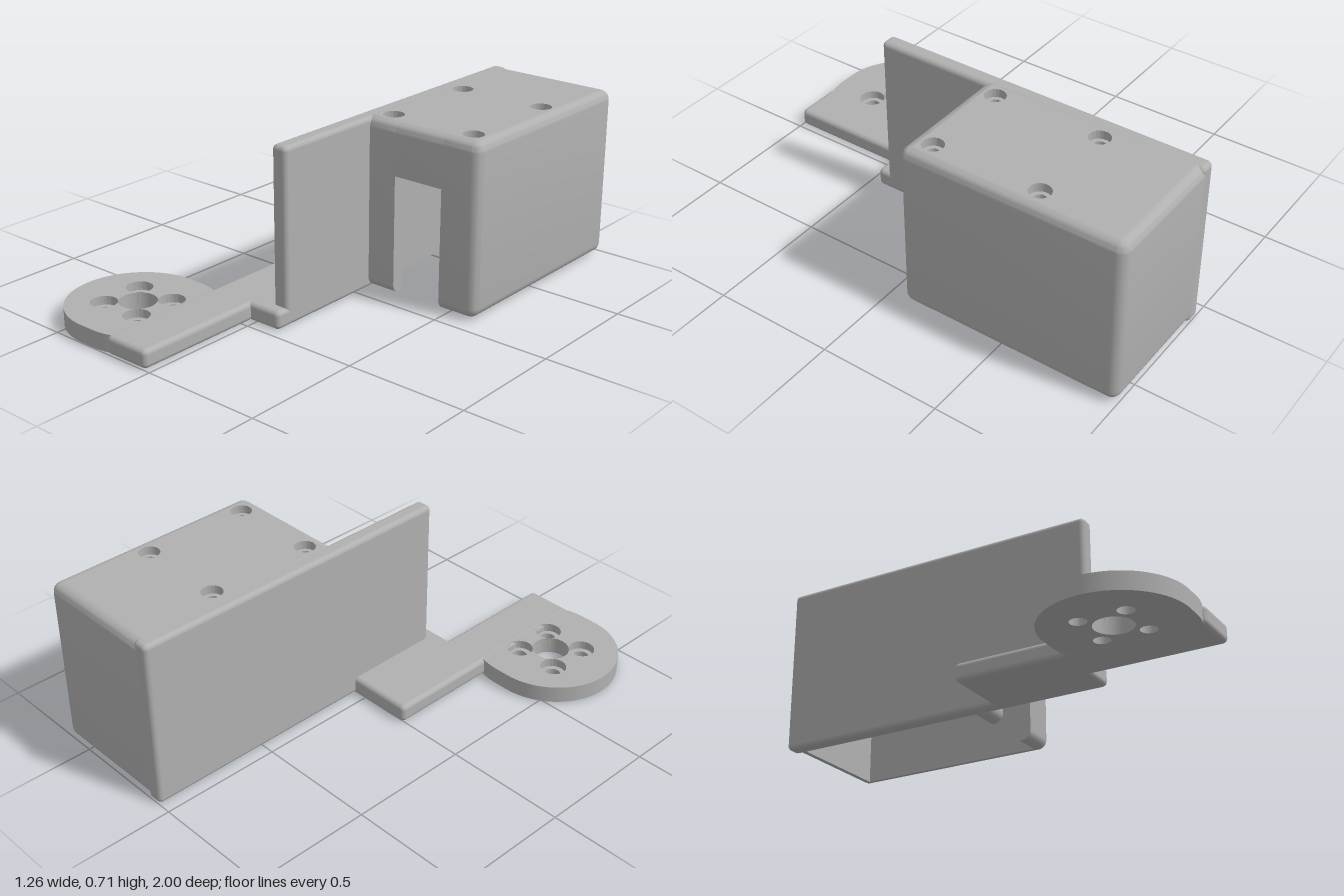
import * as THREE from 'three';
import { RoundedBoxGeometry } from 'three/addons/geometries/RoundedBoxGeometry.js';
import { toCreasedNormals } from 'three/addons/utils/BufferGeometryUtils.js';

const grey = new THREE.MeshStandardMaterial({ color: 0xb0b0b0, side: THREE.DoubleSide });
grey.name = 'plain grey';

// Housing limits, edge radius, wall thickness and cable slot
const X0 = 0.07, X1 = 0.63, Z0 = -1, Z1 = -0.07, Y0 = 0.007, Y1 = 0.71;
const R = 0.04, WALL = 0.05, CEILING = 0.64;
const SLOT_L = 0.245, SLOT_R = 0.465, SLOT_TOP = 0.5;

function part(name, geometry) {
  const mesh = new THREE.Mesh(geometry, grey);
  mesh.name = name;
  return mesh;
}

function slab(name, x0, x1, y0, y1, z0, z1, r = 0.02) {
  const g = new RoundedBoxGeometry(x1 - x0, y1 - y0, z1 - z0, 4, r);
  g.translate((x0 + x1) / 2, (y0 + y1) / 2, (z0 + z1) / 2);
  return part(name, g);
}

// Flat plate drawn in x/z, in two layers so that each screw hole is counterbored
function boredPlate(name, outline, bores, y0, y1) {
  const group = new THREE.Group();
  group.name = name;
  const mid = (y0 + y1) / 2;
  [[y0, mid, 'inner'], [mid, y1, 'outer']].forEach(([low, high, key]) => {
    const shape = new THREE.Shape(outline);
    for (const b of bores) {
      shape.holes.push(new THREE.Path().absarc(b.x, b.z, b[key], 0, Math.PI * 2, true));
    }
    const g = new THREE.ExtrudeGeometry(shape, { depth: high - low, bevelEnabled: false, curveSegments: 32 });
    g.rotateX(Math.PI / 2);
    g.translate(0, high, 0);
    group.add(part(`${name} ${key} layer`, toCreasedNormals(g, 0.5)));
  });
  return group;
}

// Surface through rows of [x, y, z] points
function loft(rows) {
  const n = rows[0].length, index = [];
  for (let j = 0; j < rows.length - 1; j++) {
    for (let i = 0; i < n - 1; i++) {
      const a = j * n + i, b = a + 1, c = a + n, d = c + 1;
      index.push(a, b, c, b, d, c);
    }
  }
  const g = new THREE.BufferGeometry();
  g.setAttribute('position', new THREE.Float32BufferAttribute(rows.flat(2), 3));
  g.setIndex(index);
  return toCreasedNormals(g, 0.6);
}

// Four rounded corners of the housing outline, moved inward by d
function corners(d) {
  const pts = [], r = Math.max(R - d, 0), m = Math.max(d, R);
  const centres = [[X1 - m, Z1 - m], [X1 - m, Z0 + m], [X0 + m, Z0 + m], [X0 + m, Z1 - m]];
  centres.forEach(([cx, cz], k) => {
    for (let i = 0; i <= 6; i++) {
      const a = Math.PI / 2 - (k + i / 6) * Math.PI / 2;
      pts.push([cx + r * Math.cos(a), cz + r * Math.sin(a)]);
    }
  });
  return pts;
}

function housing() {
  const group = new THREE.Group();
  group.name = 'housing';

  // Wall section as [inset, height]
  const bottom = [], top = [];
  for (let i = 0; i <= 6; i++) {
    const s = R * (1 - Math.sin(i / 6 * Math.PI / 2)), c = R * (1 - Math.cos(i / 6 * Math.PI / 2));
    bottom.push([s, Y0 + c]);
    top.push([c, Y1 - s]);
  }
  top.reverse();
  top.sort((a, b) => a[1] - b[1]);
  const section = [[WALL, CEILING], [WALL, Y0], ...bottom, ...top];
  group.add(part('housing walls', loft(section.map(([d, y]) =>
    [[SLOT_R, Z1 - d], ...corners(d), [SLOT_L, Z1 - d]].map(([x, z]) => [x, y, z])))));

  // Wall above the slot
  const lintel = [[WALL, CEILING], [WALL, SLOT_TOP], [0, SLOT_TOP], ...top];
  group.add(part('slot lintel', loft(lintel.map(([d, y]) =>
    [[SLOT_L, y, Z1 - d], [SLOT_R, y, Z1 - d]]))));

  // Slot sides
  for (const [x, turn] of [[SLOT_L, 1], [SLOT_R, -1]]) {
    const shape = new THREE.Shape([[WALL, Y0], ...bottom, [0, SLOT_TOP], [WALL, SLOT_TOP]]
      .map(([d, y]) => new THREE.Vector2(turn * d, y)));
    const g = new THREE.ShapeGeometry(shape);
    g.rotateY(turn * Math.PI / 2);
    g.translate(x, 0, Z1);
    group.add(part('slot side', g));
  }

  // Roof with four screw holes
  const outline = corners(R).map(([x, z]) => new THREE.Vector2(x, z)).filter((p, i) => i % 7 === 0);
  const bores = [];
  for (const x of [0.165, 0.54]) {
    for (const z of [-0.61, -0.16]) bores.push({ x, z, inner: 0.025, outer: 0.042 });
  }
  group.add(boredPlate('roof', outline, bores, CEILING, Y1));
  return group;
}

// Round mounting pad with a centre hole and four screw holes
function mountingPad() {
  const cx = -0.36, cz = 0.725, r = 0.275;
  const outline = new THREE.Path()
    .absarc(cx, cz, r, Math.PI / 2, Math.PI * 1.5, false)
    .absarc(-0.3, cz, r, -Math.PI / 2, -1.2, false)
    .lineTo(-0.2, cz + r * Math.sin(1.2))
    .absarc(-0.3, cz, r, 1.2, Math.PI / 2, false);
  const bores = [{ x: cx, z: 0.72, inner: 0.075, outer: 0.075 }];
  for (const sx of [-1, 1]) {
    for (const sz of [-1, 1]) {
      bores.push({ x: cx + sx * 0.09, z: 0.72 + sz * 0.09, inner: 0.032, outer: 0.053 });
    }
  }
  return boredPlate('mounting pad', outline.getPoints(32), bores, 0.003, 0.074);
}

export function createModel() {
  const model = new THREE.Group();
  model.name = 'bracket';
  model.add(
    housing(),
    slab('side plate', 0.05, 0.12, 0, 0.71, -1, 0.41),
    slab('base plate', -0.225, 0.12, 0, 0.075, 0.01 - 0.02, 0.46),
    slab('arm', -0.225, -0.02, 0, 0.075, 0.3, 1),
    mountingPad(),
  );
  return model;
}
